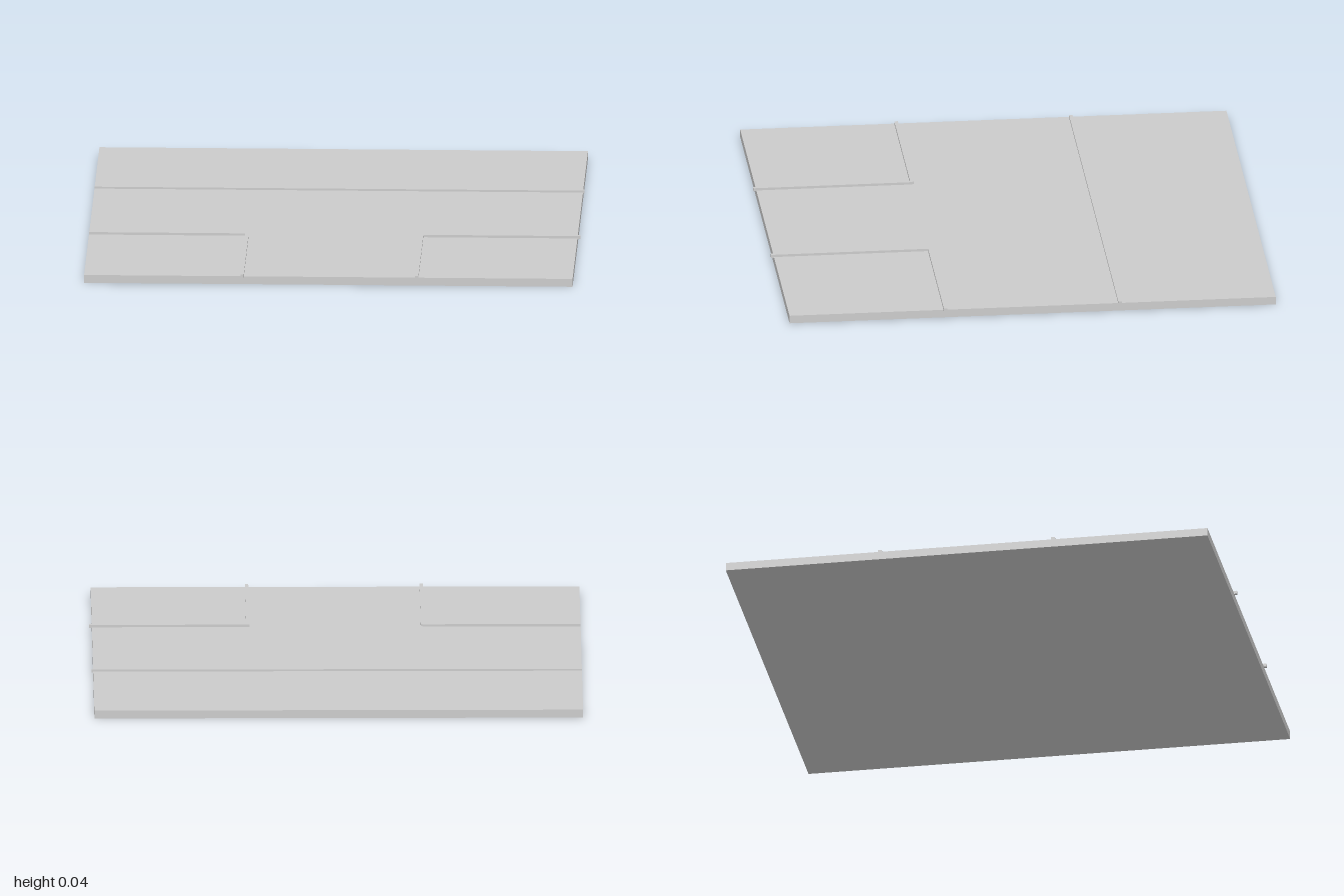
import * as THREE from 'three';

export function createModel() {
  const group = new THREE.Group();
  const material = new THREE.MeshStandardMaterial({ color: 0xcccccc, flatShading: true });

  // Box given by its extents on each axis
  function addBox(name, [x0, x1], [y0, y1], [z0, z1]) {
    const mesh = new THREE.Mesh(new THREE.BoxGeometry(x1 - x0, y1 - y0, z1 - z0), material);
    mesh.position.set((x0 + x1) / 2, (y0 + y1) / 2, (z0 + z1) / 2);
    mesh.name = name;
    group.add(mesh);
  }

  // Ground slab
  addBox('roadSlab', [-1, 0.988], [0, 0.033], [-1, 0.988]);

  // Straight kerb along the back of the road
  addBox('backKerb', [-1, 0.994], [0.03, 0.041], [-0.371, -0.356]);

  // Kerbs turning into the side road at the front
  const kerbY = [0.03, 0.043];
  addBox('rightCornerKerb', [-1, -0.356], kerbY, [0.343, 0.358]);
  addBox('rightSideKerb', [-0.364, -0.35], kerbY, [0.35, 1]);
  addBox('leftCornerKerb', [0.347, 1], kerbY, [0.343, 0.358]);
  addBox('leftSideKerb', [0.347, 0.361], kerbY, [0.358, 1]);

  return group;
}
